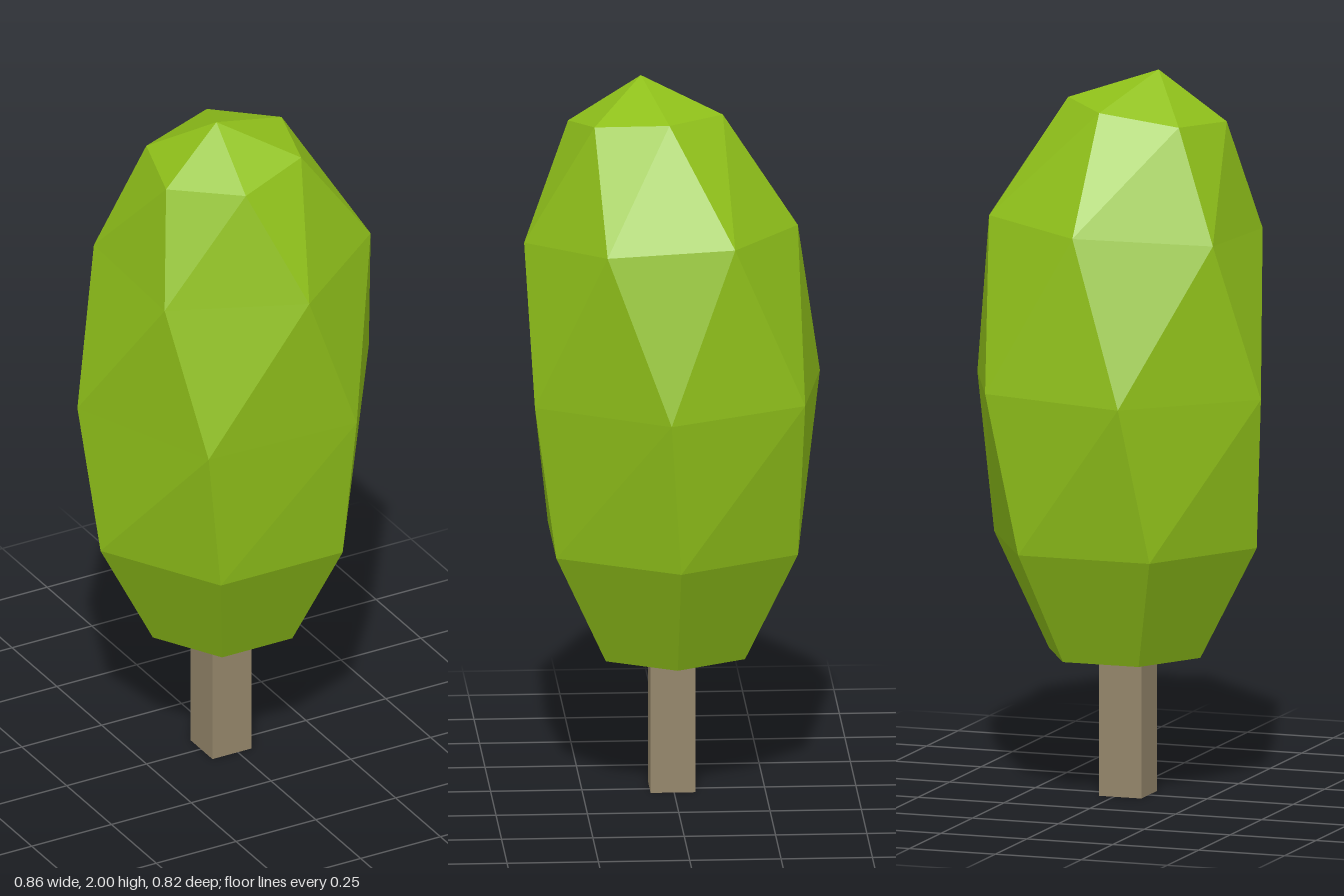
import * as THREE from 'three';

// Regular hexagonal ring, listed left-front first and running anticlockwise from above
function hexRing(y, radius, cx) {
  return Array.from({ length: 6 }, (_, i) => {
    const a = THREE.MathUtils.degToRad(120 - 60 * i);
    return [cx + radius * Math.cos(a), y, radius * Math.sin(a)];
  });
}

// Skin a stack of rings (bottom to top), closed with a flat base and a pointed top
function loft(rings, apex) {
  const n = rings[0].length;
  const base = [0, 1, 2].map(k => rings[0].reduce((s, p) => s + p[k], 0) / n);
  const pos = [];
  const tri = (...corners) => corners.forEach(p => pos.push(...p));
  for (let i = 0; i < n; i++) {
    const j = (i + 1) % n;
    tri(base, rings[0][j], rings[0][i]);
    for (let r = 0; r < rings.length - 1; r++) {
      const low = rings[r], up = rings[r + 1];
      tri(low[i], low[j], up[j]);
      tri(low[i], up[j], up[i]);
    }
    tri(rings.at(-1)[i], rings.at(-1)[j], apex);
  }
  const geo = new THREE.BufferGeometry();
  geo.setAttribute('position', new THREE.Float32BufferAttribute(pos, 3));
  geo.computeVertexNormals();
  return geo;
}

export function createModel() {
  const tree = new THREE.Group();
  tree.name = 'tree';

  // Crown: six-sided rings that twist and lean towards the top
  const rings = [
    hexRing(0.39, 0.22, -0.01),
    hexRing(0.705, 0.382, -0.012),
    [[-0.26, 1.13, 0.365], [0.19, 1.135, 0.39], [0.43, 1.14, 0.03],
      [0.27, 1.15, -0.345], [-0.14, 1.14, -0.41], [-0.43, 1.13, -0.065]],
    [[-0.325, 1.55, 0.235], [0.03, 1.56, 0.41], [0.34, 1.595, 0.20],
      [0.33, 1.61, -0.15], [0.018, 1.595, -0.34], [-0.325, 1.565, -0.16]],
    [[-0.26, 1.86, 0.127], [-0.097, 1.87, 0.282], [0.11, 1.905, 0.222],
      [0.162, 1.92, 0.02], [0.015, 1.91, -0.135], [-0.20, 1.875, -0.09]],
  ];
  const crown = new THREE.Mesh(
    loft(rings, [-0.078, 2, 0.084]),
    new THREE.MeshStandardMaterial({ color: 0x8fc01a, flatShading: true })
  );
  crown.name = 'crown';

  // Square trunk
  const trunk = new THREE.Mesh(
    new THREE.BoxGeometry(0.123, 0.4, 0.123),
    new THREE.MeshStandardMaterial({ color: 0x94856a, flatShading: true })
  );
  trunk.name = 'trunk';
  trunk.position.set(-0.018, 0.2, 0.003);

  tree.add(crown, trunk);
  return tree;
}
